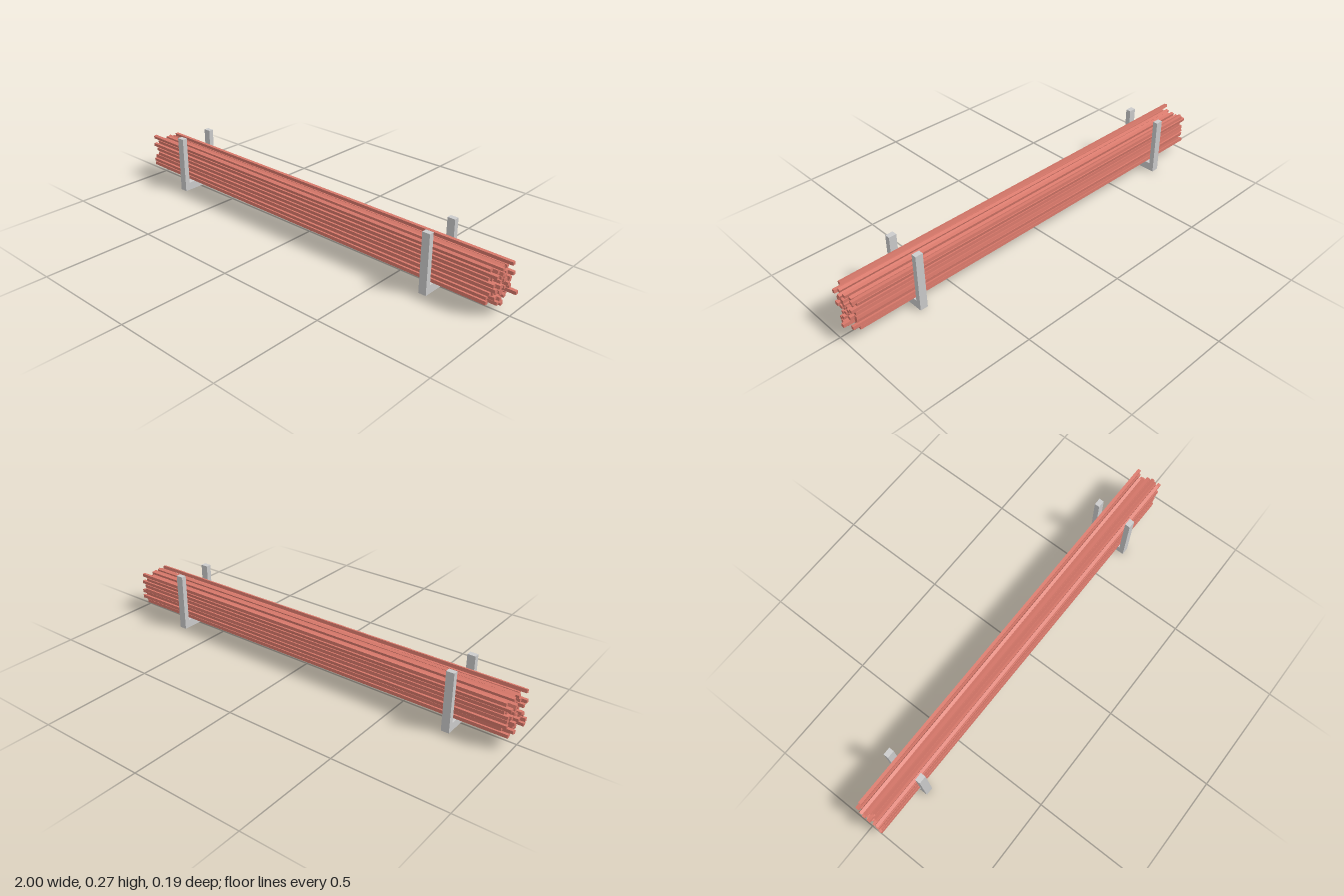
import * as THREE from 'three';

const grey = new THREE.MeshStandardMaterial({ color: 0xcccccc });
const red = new THREE.MeshStandardMaterial({ color: 0xd9796b });

// Small seeded generator, returns a value in -1..1
function seeded(seed) {
  return () => {
    seed = (seed * 16807) % 2147483647;
    return (seed / 2147483647) * 2 - 1;
  };
}

// U-shaped cradle, drawn in the z/y plane and extruded along x
function makeBracket(x) {
  const depth = 0.035;
  const outline = [
    [-0.095, 0], [0.093, 0], [0.093, 0.266], [0.07, 0.266],
    [0.07, 0.037], [-0.071, 0.037], [-0.071, 0.266], [-0.095, 0.266],
  ];
  const shape = new THREE.Shape(outline.map(([a, b]) => new THREE.Vector2(a, b)));
  const geo = new THREE.ExtrudeGeometry(shape, { depth, bevelEnabled: false });
  geo.translate(0, 0, -depth / 2);
  geo.rotateY(Math.PI / 2);
  const mesh = new THREE.Mesh(geo, grey);
  mesh.position.x = x;
  return mesh;
}

// Loose stack of long square bars, sloping slightly down towards +x
function makeBars() {
  const bars = new THREE.Group();
  bars.name = 'barStack';
  const rnd = seeded(4217);
  const size = 0.0145, length = 1.93;
  const geo = new THREE.BoxGeometry(length, size, size);
  // Each column: z, lowest and highest bar centre
  const columns = [
    [0.056, 0.058, 0.2], [0.035, 0.06, 0.186], [0.018, 0.056, 0.179],
    [0, 0.05, 0.183], [-0.017, 0.058, 0.171], [-0.035, 0.055, 0.174],
    [-0.055, 0.058, 0.189],
  ];
  const rows = 8;
  columns.forEach(([z, low, high], c) => {
    for (let r = 0; r < rows; r++) {
      const t = r / (rows - 1);
      const bar = new THREE.Mesh(geo, red);
      bar.name = `bar_${c}_${r}`;
      bar.position.set(-0.012 + rnd() * 0.022, low + (high - low) * t, z + rnd() * 0.0015);
      const loose = r === 0 || r === rows - 1 ? 0.5 : 0.18;
      bar.rotation.set(rnd() * loose, rnd() * 0.0015, -0.005 + rnd() * 0.0015);
      bars.add(bar);
    }
  });
  // Two bars slid out to the extreme ends
  bars.children[5 * rows + 2].position.x = 0.035;
  bars.children[1].position.x = -0.035;
  return bars;
}

export function createModel() {
  const model = new THREE.Group();
  model.name = 'barRack';
  const left = makeBracket(0.675);
  left.name = 'leftBracket';
  const right = makeBracket(-0.745);
  right.name = 'rightBracket';
  model.add(left, right, makeBars());
  return model;
}
